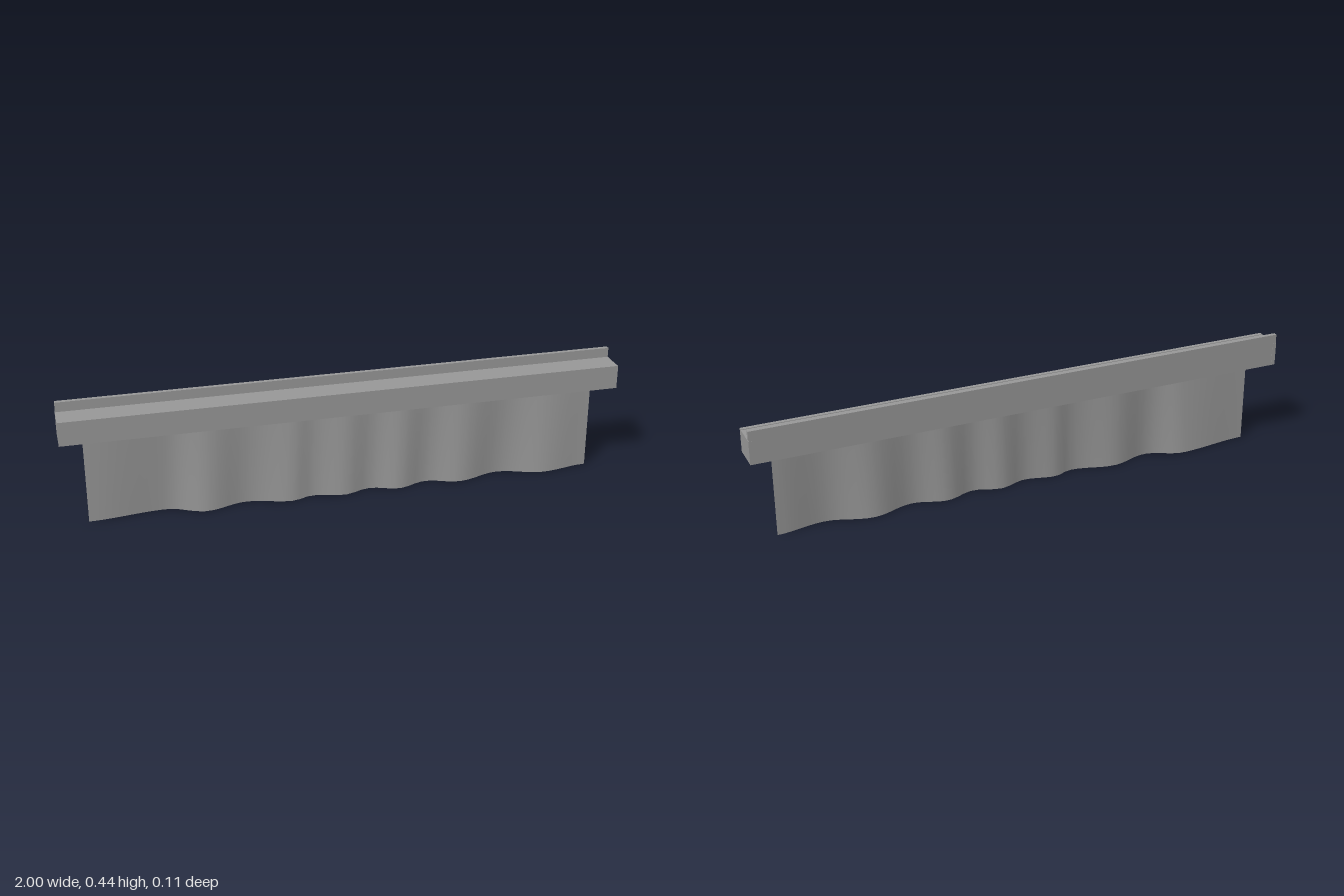
import * as THREE from 'three';

const grey = new THREE.MeshStandardMaterial({ color: 0x999999 });
const cloth = new THREE.MeshStandardMaterial({ color: 0x999999, side: THREE.DoubleSide });

// Box given by its min and max corners
function board(name, [x0, y0, z0], [x1, y1, z1]) {
  const mesh = new THREE.Mesh(new THREE.BoxGeometry(x1 - x0, y1 - y0, z1 - z0), grey);
  mesh.position.set((x0 + x1) / 2, (y0 + y1) / 2, (z0 + z1) / 2);
  mesh.name = name;
  return mesh;
}

// Thin cloth sheet whose irregular folds deepen towards the hem
function makeCurtain() {
  const top = 0.387, left = -0.92, right = 0.914, midZ = 0.017;
  // Fold crests as [x, depth at the hem]
  const folds = [
    [left, 0], [-0.65, -0.025], [-0.51, 0.024], [-0.367, -0.012], [-0.2, 0.022], [-0.13, 0],
    [-0.013, 0.022], [0.086, -0.006], [0.19, 0.022], [0.296, -0.01], [0.42, 0.022],
    [0.573, -0.018], [0.744, 0.025], [right, 0]
  ];
  const depth = (x) => {
    let i = 0;
    while (i < folds.length - 2 && x > folds[i + 1][0]) i++;
    const [[xa, za], [xb, zb]] = [folds[i], folds[i + 1]];
    return THREE.MathUtils.lerp(za, zb, (1 - Math.cos((Math.PI * (x - xa)) / (xb - xa))) / 2);
  };
  const geo = new THREE.PlaneGeometry(right - left, top, 64, 1);
  geo.translate((left + right) / 2, top / 2, 0);
  const p = geo.attributes.position;
  for (let i = 0; i < p.count; i++) {
    const open = 0.03 + 0.97 * (1 - p.getY(i) / top);
    p.setZ(i, midZ + depth(p.getX(i)) * open);
  }
  geo.computeVertexNormals();
  const mesh = new THREE.Mesh(geo, cloth);
  mesh.name = 'curtain';
  return mesh;
}

export function createModel() {
  const group = new THREE.Group();
  group.name = 'curtainPelmet';
  const y0 = 0.317, t = 0.015;

  // Pelmet box, open underneath, with a taller mounting board behind
  group.add(
    board('frontBoard', [-1, y0, 0.055 - t], [1, 0.404, 0.055]),
    board('backBoard', [-0.999, y0, -0.053], [0.999, 0.437, -0.038]),
    board('topBoard', [-1 + t, 0.402 - t, -0.038], [1 - t, 0.402, 0.055 - t])
  );
  // End boards lap over the ends of the mounting board
  for (const s of [-1, 1]) {
    const end = board(s > 0 ? 'leftEndBoard' : 'rightEndBoard', [1 - t, y0 + 0.001, -0.054], [1, 0.402, 0.055 - t]);
    end.position.x *= s;
    group.add(end);
  }

  group.add(makeCurtain());
  return group;
}
